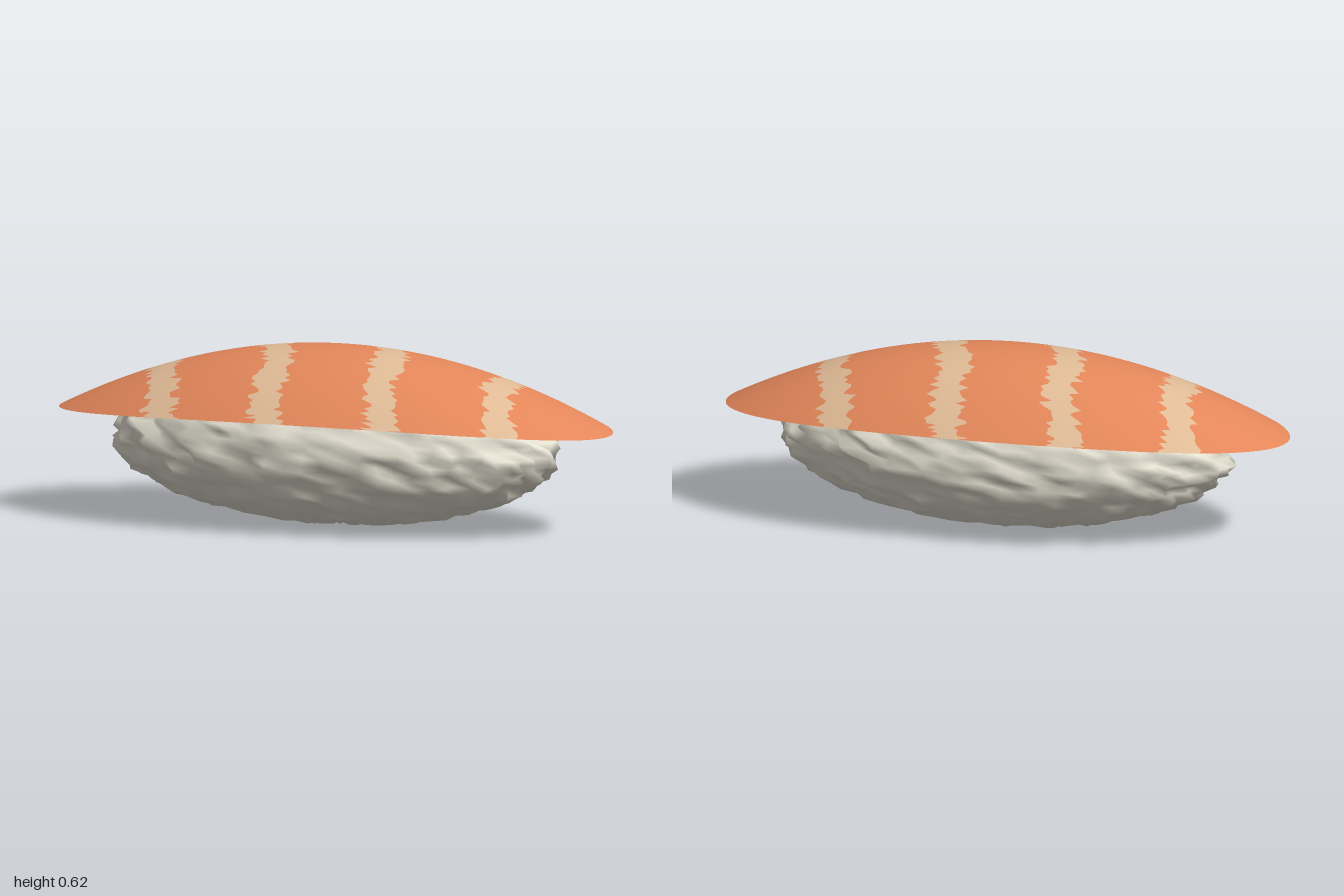
import * as THREE from 'three';
import { mergeVertices } from 'three/addons/utils/BufferGeometryUtils.js';

const HALF_Z = 0.436;

// Small seeded random generator
function makeRandom(seed) {
  let s = seed;
  return () => {
    s = (s * 16807) % 2147483647;
    return s / 2147483647;
  };
}

// Drooping dome surface of the fish slice
const domeHeight = (x, z) => 0.624 - 0.21 * (x * x + (z / HALF_Z) ** 2) - 0.05 * x * x;
const domeNormal = (x, z) => new THREE.Vector3(0.52 * x, 1, (0.42 * z) / HALF_Z ** 2).normalize();

// One band of the dome, between two jagged edges given as x per row
function bandGeometry(left, right, rows, cols) {
  const positions = [], normals = [], index = [];
  for (let i = 0; i <= rows; i++) {
    const phi = (i / rows - 0.5) * Math.PI;
    const z = HALF_Z * Math.sin(phi);
    const limit = Math.cos(phi);
    for (let j = 0; j <= cols; j++) {
      const x = THREE.MathUtils.lerp(
        THREE.MathUtils.clamp(left[i], -limit, limit),
        THREE.MathUtils.clamp(right[i], -limit, limit), j / cols);
      positions.push(x, domeHeight(x, z), z);
      normals.push(...domeNormal(x, z).toArray());
      if (i < rows && j < cols) {
        const a = i * (cols + 1) + j, c = a + cols + 1;
        index.push(a, c, a + 1, a + 1, c, c + 1);
      }
    }
  }
  const geometry = new THREE.BufferGeometry();
  geometry.setAttribute('position', new THREE.Float32BufferAttribute(positions, 3));
  geometry.setAttribute('normal', new THREE.Float32BufferAttribute(normals, 3));
  geometry.setIndex(index);
  return geometry;
}

// Fish slice: orange bands alternating with four slanted pale stripes
function createFishSlice(fishMaterial, stripeMaterial) {
  const group = new THREE.Group();
  group.name = 'fishSlice';
  const random = makeRandom(71);
  const rows = 84;
  const jaggedEdge = (centre, offset) => Array.from({ length: rows + 1 }, (_, i) => {
    const z = HALF_Z * Math.sin((i / rows - 0.5) * Math.PI);
    const wave = 0.012 * Math.sin(z * 16 + centre * 5);
    return centre + 0.23 * z + wave + offset + (random() - 0.5) * 0.05;
  });

  const edges = [new Array(rows + 1).fill(-1)];
  for (const centre of [-0.615, -0.205, 0.2, 0.615]) {
    edges.push(jaggedEdge(centre, -0.053), jaggedEdge(centre, 0.053));
  }
  edges.push(new Array(rows + 1).fill(1));

  for (let k = 0; k < edges.length - 1; k++) {
    const isStripe = k % 2 === 1;
    const band = new THREE.Mesh(
      bandGeometry(edges[k], edges[k + 1], rows, isStripe ? 3 : 10),
      isStripe ? stripeMaterial : fishMaterial);
    band.name = isStripe ? 'paleStripe' : 'fishBand';
    group.add(band);
  }
  return group;
}

// Rice bed: ellipsoid with a bumpy, grainy surface
function createRice(material) {
  const sphere = new THREE.SphereGeometry(1, 72, 36);
  sphere.deleteAttribute('uv');
  sphere.deleteAttribute('normal');
  const geometry = mergeVertices(sphere);
  const random = makeRandom(2024);
  const p = geometry.attributes.position;
  for (let i = 0; i < p.count; i++) {
    const bump = 1 + (random() - 0.5) * 0.085;
    p.setXYZ(i, p.getX(i) * bump * 0.79, 0.285 + p.getY(i) * bump * 0.274, p.getZ(i) * bump * 0.36);
  }
  geometry.computeVertexNormals();
  const rice = new THREE.Mesh(geometry, material);
  rice.name = 'riceBed';
  return rice;
}

export function createModel() {
  const fishMaterial = new THREE.MeshStandardMaterial({ color: 0xe4875a, side: THREE.DoubleSide });
  fishMaterial.name = 'salmon orange';
  const stripeMaterial = new THREE.MeshStandardMaterial({ color: 0xe0bb96, side: THREE.DoubleSide });
  stripeMaterial.name = 'pale fat';
  const riceMaterial = new THREE.MeshStandardMaterial({ color: 0xe6e2d3 });
  riceMaterial.name = 'rice white';

  const model = new THREE.Group();
  model.name = 'nigiri';
  model.add(createRice(riceMaterial), createFishSlice(fishMaterial, stripeMaterial));
  return model;
}
